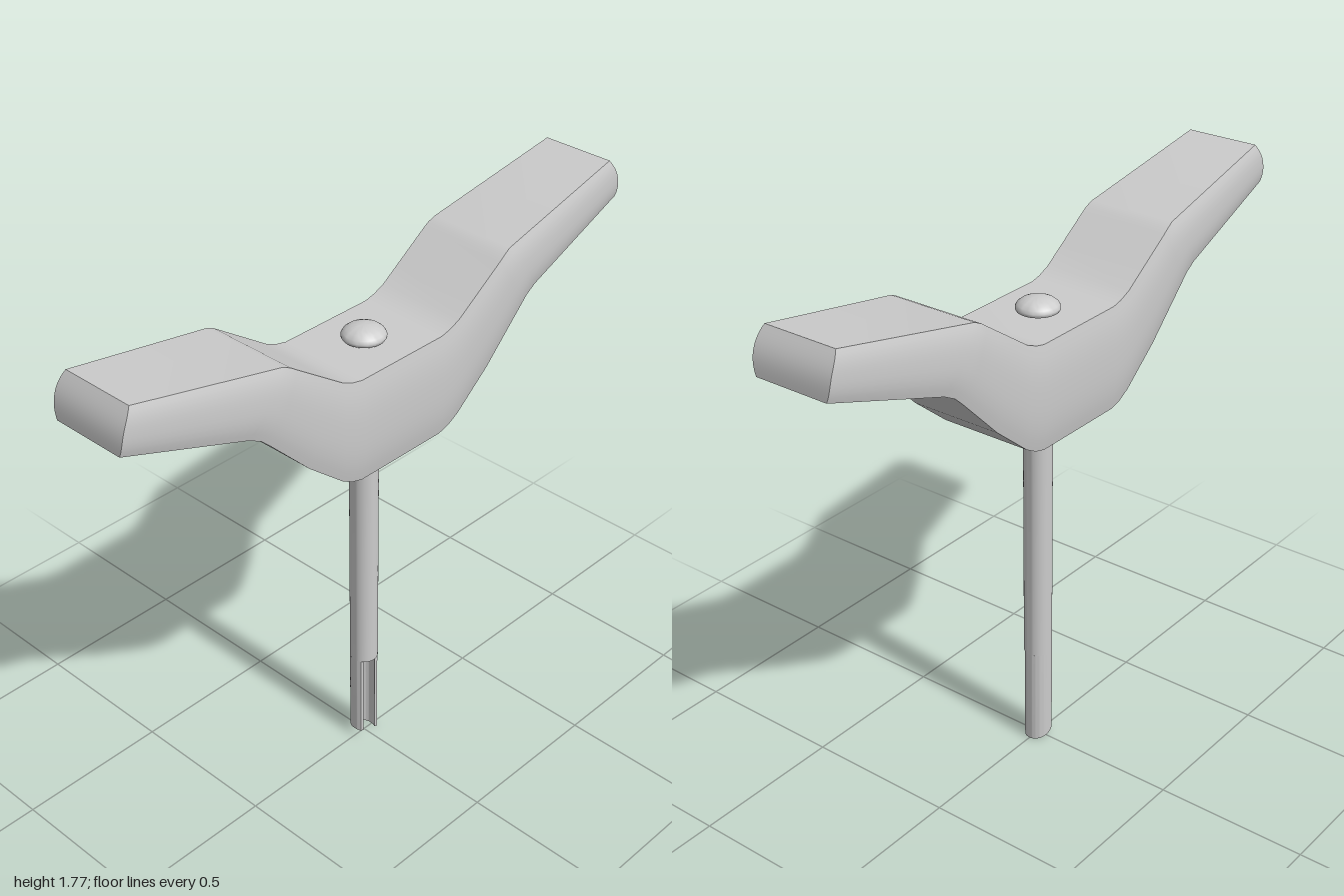
import * as THREE from 'three';
import { toCreasedNormals } from 'three/addons/utils/BufferGeometryUtils.js';

const material = new THREE.MeshStandardMaterial({ color: 0xcccccc });

function part(name, geometry, crease = 0.6) {
  const mesh = new THREE.Mesh(toCreasedNormals(geometry, crease), material);
  mesh.name = name;
  return mesh;
}

// Handle: lofted along x from slanted sections with slightly bulged sides
function handleGeometry() {
  // top x, top y, bottom x, bottom y, half depth
  const half = [
    [0.165, 1.505, 0.165, 1.172, 0.166],
    [0.2, 1.513, 0.205, 1.183, 0.166],
    [0.24, 1.53, 0.246, 1.206, 0.166],
    [0.31, 1.578, 0.375, 1.313, 0.166],
    [0.415, 1.65, 0.52, 1.459, 0.166],
    [0.435, 1.664, 0.55, 1.487, 0.165],
    [0.46, 1.676, 0.59, 1.508, 0.162],
    [0.955, 1.775, 0.998, 1.643, 0.134],
  ];
  const mirrored = half.map(([a, b, c, d, w]) => [-a, b, -c, d, w]).reverse();
  const stations = [...mirrored, ...half];
  const steps = 10, ring = 2 * (steps + 1), last = stations.length - 1;
  const positions = [], index = [];

  stations.forEach(([tx, ty, bx, by, w], s) => {
    const end = s === 0 ? -1 : s === last ? 1 : 0;
    for (let j = 0; j < ring; j++) {
      const front = j <= steps;
      const t = (front ? j : ring - 1 - j) / steps;
      const bulge = 0.012 * end * Math.sin(Math.PI * t);
      const z = w * (1 - 0.09 * Math.abs(2 * t - 1) ** 2.5);
      positions.push(bx + (tx - bx) * t + bulge, by + (ty - by) * t + Math.abs(bulge) * 0.3, front ? z : -z);
    }
  });
  for (let s = 0; s < last; s++) {
    for (let j = 0; j < ring; j++) {
      const k = (j + 1) % ring, a = s * ring, b = a + ring;
      index.push(a + j, b + j, b + k, a + j, b + k, a + k);
    }
  }
  // Rounded end faces
  for (let j = 0; j < steps; j++) {
    const k = ring - 1 - j, e = last * ring;
    index.push(e + j, e + k, e + k - 1, e + j, e + k - 1, e + j + 1);
    index.push(j, k - 1, k, j, j + 1, k - 1);
  }
  const geometry = new THREE.BufferGeometry();
  geometry.setAttribute('position', new THREE.Float32BufferAttribute(positions, 3));
  geometry.setIndex(index);
  return geometry;
}

// Channel: open-fronted tube tip with a slanted lower end
function channelGeometry(R, r, cut, height) {
  const a = Math.asin(cut / R), b = Math.asin(cut / r);
  const shape = new THREE.Shape();
  shape.absarc(0, 0, R, -a, Math.PI + a, false);
  shape.absarc(0, 0, r, Math.PI + b, -b, true);
  shape.closePath();
  const geometry = new THREE.ExtrudeGeometry(shape, { depth: height, bevelEnabled: false, curveSegments: 24 });
  geometry.rotateX(-Math.PI / 2);
  const p = geometry.attributes.position;
  for (let i = 0; i < p.count; i++) {
    if (p.getY(i) < 0.01) p.setY(i, 0.033 * (0.5 - p.getX(i) / (2 * R)));
  }
  return geometry;
}

const lathe = (points) =>
  new THREE.LatheGeometry(points.map(([x, y]) => new THREE.Vector2(x, y)), 40);

export function createModel() {
  const group = new THREE.Group();
  group.name = 'tHandleTool';
  const R = 0.045;

  group.add(part('handle', handleGeometry()));

  const shaft = part('shaft', new THREE.CylinderGeometry(R, R, 0.87, 40));
  shaft.position.y = 0.33 + 0.87 / 2;
  group.add(shaft);

  group.add(part('channelTip', channelGeometry(R, 0.035, 0.023, 0.33)));

  // Collar under the handle
  group.add(part('collar', lathe([
    [0, 1.149], [0.064, 1.149], [0.068, 1.152], [0.068, 1.157], [0.064, 1.16], [0.048, 1.161], [0.048, 1.18],
  ])));

  // Domed rivet on top of the handle
  group.add(part('rivetHead', lathe([
    [0.045, 1.495], [0.045, 1.513], [0.064, 1.513], [0.067, 1.518], [0.067, 1.524], [0.062, 1.533],
    [0.051, 1.542], [0.036, 1.549], [0.018, 1.553], [0, 1.554],
  ])));

  return group;
}
